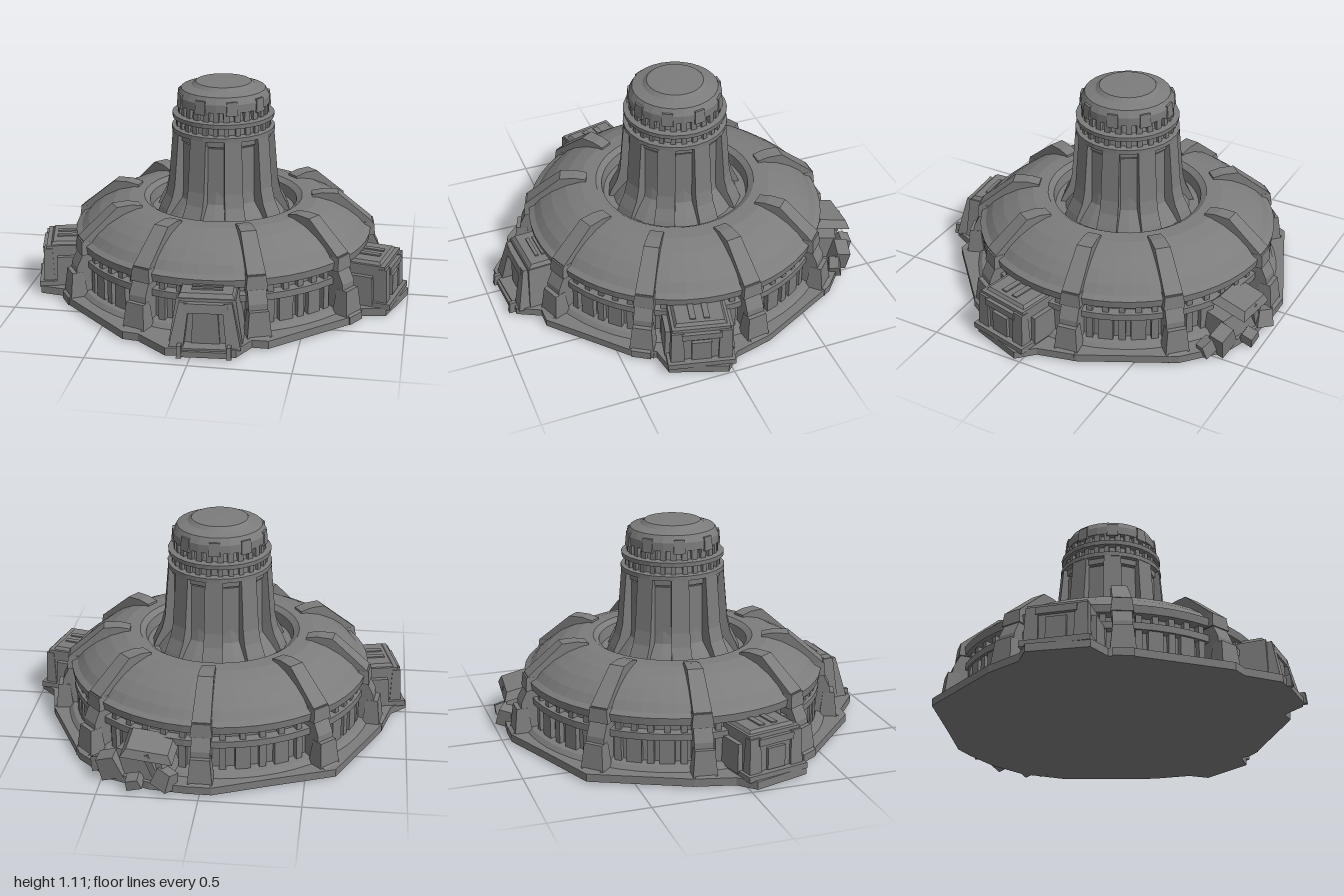
import * as THREE from 'three';

const stone = new THREE.MeshStandardMaterial({ color: 0x7c7c7c, flatShading: true });
stone.name = 'grey concrete';
const RAD = Math.PI / 180;

function add(parent, name, geometry, x = 0, y = 0, z = 0) {
  const mesh = new THREE.Mesh(geometry, stone);
  mesh.name = name;
  mesh.position.set(x, y, z);
  parent.add(mesh);
  return mesh;
}

// Box standing on y; its top is scaled by tx, tz
function block(parent, name, w, h, d, x, y, z, tx = 1, tz = 1) {
  const g = new THREE.BoxGeometry(w, h, d).translate(0, h / 2, 0);
  const p = g.attributes.position;
  for (let i = 0; i < p.count; i++) {
    if (p.getY(i) > h / 2) p.setXYZ(i, p.getX(i) * tx, h, p.getZ(i) * tz);
  }
  return add(parent, name, g, x, y, z);
}

function lathe(parent, name, profile, sides) {
  return add(parent, name, new THREE.LatheGeometry(profile.map(([r, y]) => new THREE.Vector2(r, y)), sides));
}

// Radial fin: (radius, height) outline, thickness changing from w0 to w1 outwards
function fin(parent, name, outline, w0, w1) {
  const shape = new THREE.Shape(outline.map(([r, y]) => new THREE.Vector2(r, y)));
  const g = new THREE.ExtrudeGeometry(shape, { depth: 1, bevelEnabled: false });
  g.translate(0, 0, -0.5).rotateY(-Math.PI / 2);
  const radii = outline.map(q => q[0]);
  const r0 = Math.min(...radii), r1 = Math.max(...radii);
  const p = g.attributes.position;
  for (let i = 0; i < p.count; i++) {
    p.setX(i, p.getX(i) * (w0 + (w1 - w0) * (p.getZ(i) - r0) / (r1 - r0)));
  }
  g.computeVertexNormals();
  return add(parent, name, g);
}

// Group whose local +z points outwards at an angle (degrees from the front towards +x)
function sector(parent, name, angle) {
  const g = new THREE.Group();
  g.name = name;
  g.rotation.y = angle * RAD;
  parent.add(g);
  return g;
}

function buildBase(root) {
  const plan = [
    [0.06, -0.96], [-0.06, -0.96], [-0.3, -0.86], [-0.65, -0.72], [-0.87, -0.25], [-0.92, -0.05],
    [-1, 0.03], [-0.91, 0.32], [-0.78, 0.34], [-0.72, 0.45], [-0.36, 0.79], [-0.28, 0.8],
    [-0.12, 0.93], [0.22, 0.9], [0.28, 0.78], [0.36, 0.78], [0.72, 0.45], [0.78, 0.33],
    [0.9, 0.31], [1, 0.03], [0.92, -0.05], [0.87, -0.25], [0.64, -0.7], [0.45, -0.87], [0.25, -0.94],
  ];
  const shape = new THREE.Shape(plan.map(([x, z]) => new THREE.Vector2(x, -z)));
  const g = new THREE.ExtrudeGeometry(shape, { depth: 0.04, bevelEnabled: false }).rotateX(-Math.PI / 2);
  add(root, 'basePlate', g);
}

function buildRing(core) {
  // Wall, window recess, lip, domed roof and the well around the tower
  lathe(core, 'ringHall', [
    [0.82, 0.03], [0.79, 0.06], [0.74, 0.07], [0.74, 0.185], [0.775, 0.19], [0.775, 0.225],
    [0.73, 0.23], [0.73, 0.265], [0.78, 0.27], [0.785, 0.31], [0.755, 0.325], [0.72, 0.365],
    [0.66, 0.41], [0.58, 0.45], [0.5, 0.472], [0.42, 0.475], [0.39, 0.455], [0.38, 0.4], [0.2, 0.4],
  ], 54);

  const rib = [
    [0.47, 0.4], [0.47, 0.485], [0.53, 0.497], [0.61, 0.495], [0.795, 0.34], [0.8, 0.27],
    [0.835, 0.2], [0.845, 0.06], [0.89, 0.04], [0.89, 0], [0.6, 0], [0.6, 0.35],
  ];
  const ribAngles = [180, 135, 98, 58, 21, -21, -58, -98, -135];
  ribAngles.forEach((angle, i) => {
    const s = sector(core, 'ribSector', angle);
    fin(s, 'roofRib', rib, 0.07, 0.1);
    block(s, 'ribFoot', 0.13, 0.17, 0.1, 0, 0, 0.83, 0.75, 0.6);
    block(s, 'ribShoulder', 0.11, 0.07, 0.07, 0, 0.265, 0.775, 0.85, 0.8);

    // Wall panels, window posts and roof seams in the bay after each rib
    const next = ribAngles[(i + 1) % ribAngles.length];
    const span = ((angle - next + 360) % 360);
    for (let k = 1; k < 6; k++) {
      const b = sector(core, 'wallBay', angle - span * k / 6);
      block(b, 'wallPier', k % 2 ? 0.035 : 0.075, 0.125, 0.03, 0, 0.065, 0.75);
      block(b, 'windowPost', 0.03, 0.045, 0.03, 0, 0.225, 0.745);
    }
  });
}

function buildTower(core) {
  lathe(core, 'towerShaft', [
    [0.33, 0.4], [0.3, 0.44], [0.25, 0.5], [0.235, 0.6], [0.225, 0.84], [0.27, 0.842], [0.27, 0.865],
    [0.235, 0.87], [0.23, 0.91], [0.265, 0.912], [0.267, 0.935], [0.225, 0.94], [0.215, 0.985],
    [0.24, 0.988], [0.24, 1.03], [0.22, 1.065], [0.165, 1.08], [0.145, 1.097], [0, 1.1],
  ], 27);
  const pilaster = [
    [0.2, 0.4], [0.35, 0.4], [0.335, 0.44], [0.305, 0.5], [0.288, 0.57], [0.265, 0.845], [0.2, 0.845],
  ];
  for (let i = 0; i < 9; i++) {
    const s = sector(core, 'towerSector', 20 + i * 40);
    fin(s, 'towerPilaster', pilaster, 0.075, 0.11);
    block(s, 'capBracket', 0.06, 0.07, 0.03, 0, 0.975, 0.232, 0.9, 0.6);
    const p = sector(core, 'towerBay', i * 40);
    block(p, 'towerPanel', 0.09, 0.28, 0.03, 0, 0.52, 0.225, 0.95, 0.8);
    block(p, 'panelHeader', 0.12, 0.03, 0.04, 0, 0.81, 0.225);
    for (const a of [-13, 0, 13]) {
      const w = sector(core, 'galleryBay', i * 40 + a);
      block(w, 'lowerGalleryPost', 0.025, 0.045, 0.025, 0, 0.867, 0.235);
      block(w, 'upperGalleryPost', 0.03, 0.05, 0.03, 0, 0.937, 0.222);
    }
  }
}

function buildSidePod(core, side) {
  const s = sector(core, side > 0 ? 'leftPod' : 'rightPod', side * 77);
  block(s, 'podPlinth', 0.34, 0.03, 0.28, 0, 0.035, 0.84);
  block(s, 'podBody', 0.3, 0.2, 0.24, 0, 0.055, 0.825, 0.97, 0.95);
  block(s, 'podRoof', 0.27, 0.02, 0.2, 0, 0.25, 0.82, 0.88, 0.85);
  for (const x of [-0.12, 0.12]) {
    block(s, 'podCorner', 0.07, 0.19, 0.06, x, 0.05, 0.93, 0.85, 0.7);
    block(s, 'podCheek', 0.04, 0.15, 0.16, x * 1.3, 0.05, 0.81, 0.8, 0.9);
  }
  block(s, 'podLintel', 0.2, 0.035, 0.04, 0, 0.2, 0.94);
  block(s, 'podHatch', 0.1, 0.11, 0.02, 0, 0.07, 0.95);
  for (const x of [-0.035, 0.035]) block(s, 'podVent', 0.03, 0.012, 0.13, x, 0.265, 0.82);
}

function buildEntrance(core) {
  const s = sector(core, 'entrance', 4);
  block(s, 'entranceBody', 0.36, 0.23, 0.24, 0, 0.03, 0.79, 0.8, 0.85);
  block(s, 'entranceRoof', 0.28, 0.025, 0.2, 0, 0.255, 0.79, 0.9, 0.8);
  for (const x of [-1, 1]) {
    const jamb = block(s, 'doorJamb', 0.07, 0.23, 0.1, x * 0.14, 0.02, 0.92, 0.7, 0.7);
    jamb.rotation.set(-0.16, 0, x * 0.16);
    block(s, 'doorBollard', 0.025, 0.06, 0.05, x * 0.12, 0, 0.985, 0.8, 0.7);
  }
  block(s, 'doorLintel', 0.23, 0.045, 0.08, 0, 0.2, 0.89, 0.9, 0.8);
  block(s, 'door', 0.14, 0.16, 0.02, 0, 0.04, 0.91, 0.85, 1);
  block(s, 'doorStep', 0.22, 0.03, 0.06, 0, 0, 0.965);
  for (let i = 0; i < 3; i++) block(s, 'roofVent', 0.15, 0.01, 0.018, 0, 0.278, 0.75 + i * 0.035);
}

function buildWreckedBay(core) {
  // Collapsed pod: tilted slabs and rubble
  const s = sector(core, 'wreckedBay', 160);
  const slabs = [ // w, h, d, x, y, z, tilt x, tilt z
    [0.3, 0.14, 0.18, 0.0, 0.03, 0.8, 0, 0.1], [0.26, 0.04, 0.2, 0.03, 0.18, 0.82, 0.25, -0.15],
    [0.12, 0.12, 0.1, -0.14, 0.02, 0.87, 0.2, 0.3], [0.1, 0.09, 0.09, 0.13, 0.02, 0.88, -0.2, -0.25],
    [0.08, 0.05, 0.08, 0.0, 0.02, 0.92, 0.3, 0.2], [0.04, 0.16, 0.05, 0.1, 0.04, 0.86, 0.15, 0.35],
    [0.09, 0.07, 0.07, -0.22, 0.02, 0.86, -0.1, 0.4],
  ];
  for (const [w, h, d, x, y, z, rx, rz] of slabs) {
    block(s, 'rubbleSlab', w, h, d, x, y, z, 0.8, 0.75).rotation.set(rx, rx, rz);
  }
}

export function createModel() {
  const root = new THREE.Group();
  root.name = 'bunkerTower';
  buildBase(root);
  const core = new THREE.Group();
  core.name = 'core';
  core.position.z = -0.065;
  root.add(core);
  buildRing(core);
  buildTower(core);
  buildSidePod(core, 1);
  buildSidePod(core, -1);
  buildEntrance(core);
  buildWreckedBay(core);
  return root;
}
